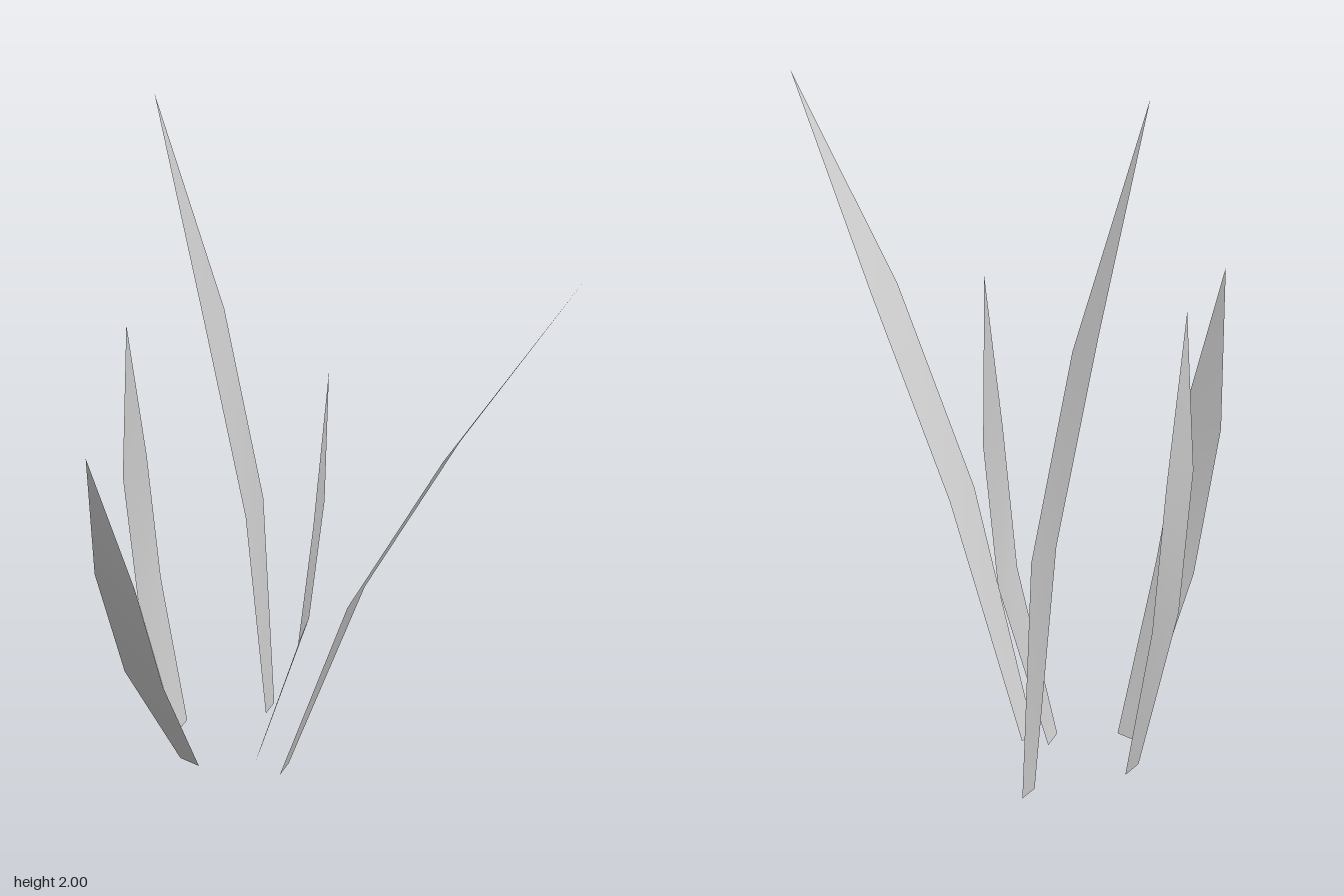
import * as THREE from 'three';

// Each blade: a spine from root to tip, and the half-width vector (x, z) at its widest
const BLADES = [
  { name: 'leftTallBlade', half: [-0.047, 0.034],
    spine: [[0.073, 0, -0.045], [0.207, 0.72, 0.132], [0.358, 1.28, 0.348], [0.54, 1.86, 0.61]] },
  { name: 'backTallBlade', half: [0.047, -0.035],
    spine: [[0.168, 0, -0.328], [0.137, 0.75, -0.37], [0.063, 1.36, -0.47], [-0.04, 2, -0.61]] },
  { name: 'middleShortBlade', half: [-0.045, 0.051],
    spine: [[0.023, 0.025, -0.12], [0.125, 0.52, -0.027], [0.155, 0.94, 0], [0.17, 1.4, 0.015]] },
  { name: 'backShortBlade', half: [0.055, -0.04],
    spine: [[-0.133, 0.025, -0.345], [-0.19, 0.52, -0.425], [-0.21, 0.95, -0.45], [-0.215, 1.41, -0.455]] },
  { name: 'rightShortBlade', half: [-0.034, -0.058],
    spine: [[-0.183, 0.025, -0.18], [-0.368, 0.49, -0.068], [-0.465, 0.9, -0.008], [-0.545, 1.34, 0.04]] },
];

// Relative width at root and at the two bends; the tip is a single point
const TAPER = [0.51, 1, 1];

function bladeGeometry(spine, [hx, hz]) {
  const points = [];
  const index = [];
  TAPER.forEach((w, i) => {
    const [x, y, z] = spine[i];
    points.push(x - hx * w, y, z - hz * w, x + hx * w, y, z + hz * w);
  });
  points.push(...spine[TAPER.length]);

  // two quads, then the pointed end
  for (let i = 0; i < TAPER.length - 1; i++) {
    const a = i * 2;
    index.push(a, a + 1, a + 3, a, a + 3, a + 2);
  }
  index.push(4, 5, 6);

  const geometry = new THREE.BufferGeometry();
  geometry.setAttribute('position', new THREE.Float32BufferAttribute(points, 3));
  geometry.setIndex(index);
  geometry.computeVertexNormals();
  return geometry;
}

export function createModel() {
  const tuft = new THREE.Group();
  tuft.name = 'grassTuft';
  const material = new THREE.MeshStandardMaterial({ color: 0xcccccc, side: THREE.DoubleSide });
  for (const { name, spine, half } of BLADES) {
    const blade = new THREE.Mesh(bladeGeometry(spine, half), material);
    blade.name = name;
    tuft.add(blade);
  }
  return tuft;
}
